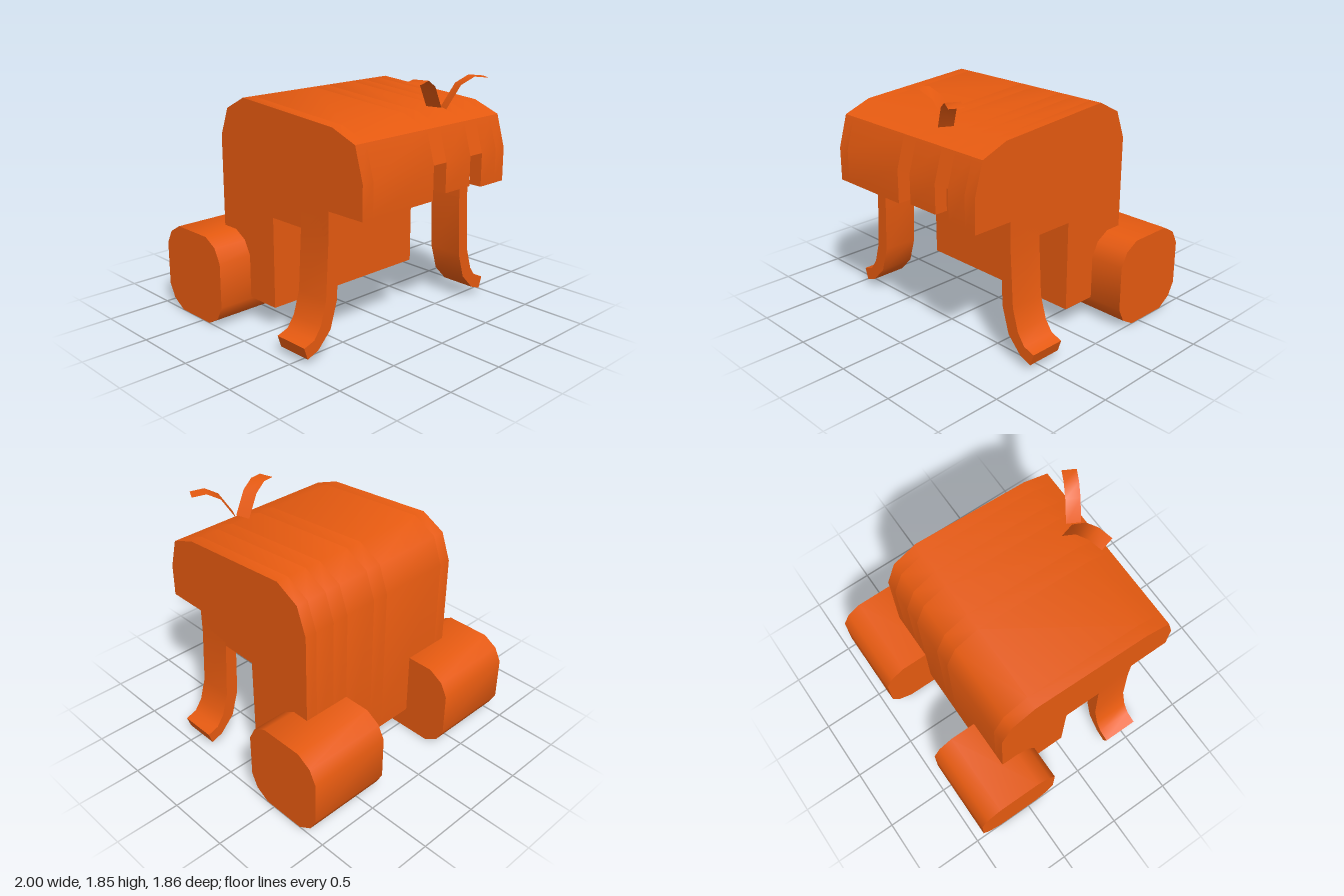
import * as THREE from 'three';
import { toCreasedNormals } from 'three/addons/utils/BufferGeometryUtils.js';

const orange = new THREE.MeshStandardMaterial({ color: 0xe65a10, side: THREE.DoubleSide });
orange.name = 'orange';

const toShape = (points) => new THREE.Shape(points.map(([a, b]) => new THREE.Vector2(a, b)));

function addMesh(parent, geometry, name) {
  const mesh = new THREE.Mesh(geometry, orange);
  mesh.name = name;
  parent.add(mesh);
  return mesh;
}

// Extrude an outline along its normal, rounded where corners are shallow
function prism(points, depth) {
  return new THREE.ExtrudeGeometry(toShape(points), { depth, bevelEnabled: false });
}

// Side outline given as (z, y), spanning x0 to x1
function sidePrism(points, x0, x1) {
  const g = prism(points, x1 - x0);
  g.rotateY(-Math.PI / 2);
  g.translate(x1, 0, 0);
  return toCreasedNormals(g, 0.85);
}

// Back and top of the body, from the lower rear up to the brow
const shell = [
  [0.02, 0.18], [-0.56, 0.18], [-0.56, 1.38], [-0.48, 1.59], [-0.29, 1.69],
  [0.64, 1.62], [0.85, 1.54], [0.92, 1.3],
];
const sideWall = [...shell, [0.92, 1.05], [0.6, 1.05], [0.6, 0.87], [0.02, 0.87]];

// Hollow section behind the front lip, which hangs down to lipY
function hollowSection(lipY) {
  const lip = lipY < 1.28 ? [[0.92, lipY], [0.82, lipY]] : [];
  return [...shell, ...lip, [0.82, 1.28], [0.77, 1.46], [0.6, 1.52], [0.12, 1.56], [0.12, 0.87], [0.02, 0.87]];
}

// Curved ribbon with its width horizontal
function leaf(base, tip, width) {
  const dir = new THREE.Vector2(tip[0] - base[0], tip[1] - base[1]);
  const side = new THREE.Vector2(-dir.y, dir.x).normalize().multiplyScalar(width / 2);
  const steps = [[0, 1.63], [0.33, 1.795], [0.65, 1.85], [1, 1.838]];
  const positions = [], index = [];
  steps.forEach(([t, y], i) => {
    const x = base[0] + dir.x * t, z = base[1] + dir.y * t;
    positions.push(x + side.x, y, z + side.y, x - side.x, y, z - side.y);
    const k = i * 2;
    if (i < steps.length - 1) index.push(k, k + 2, k + 1, k + 1, k + 2, k + 3);
  });
  const g = new THREE.BufferGeometry();
  g.setAttribute('position', new THREE.Float32BufferAttribute(positions, 3));
  // wind so the ribbon faces up
  g.setIndex(index);
  g.computeVertexNormals();
  if (g.attributes.normal.getY(4) < 0) {
    g.setIndex(index.reverse());
    g.computeVertexNormals();
  }
  return g;
}

export function createModel() {
  const model = new THREE.Group();
  model.name = 'model';

  // Body: solid side walls and a hollow middle with two notches in the front lip
  const body = new THREE.Group();
  body.name = 'body';
  model.add(body);
  addMesh(body, sidePrism(sideWall, 0.63, 0.725), 'leftWall');
  addMesh(body, sidePrism(sideWall, -0.725, -0.63), 'rightWall');
  const sections = [
    [-0.63, -0.05, 1.05, 'rightLip'],
    [-0.05, 0.08, 1.3, 'rightNotch'],
    [0.08, 0.34, 1.08, 'middleLip'],
    [0.34, 0.47, 1.3, 'leftNotch'],
    [0.47, 0.63, 1.05, 'leftLip'],
  ];
  for (const [x0, x1, lipY, name] of sections) {
    addMesh(body, sidePrism(hollowSection(lipY), x0, x1), name);
  }

  // Front legs curl outward at the foot
  const legOutline = [
    [0.63, 1.05], [0.63, 0.87], [0.65, 0.4], [0.71, 0.2], [0.825, 0.08], [0.92, 0.045],
    [0.95, 0.135], [0.86, 0.165], [0.8, 0.25], [0.75, 0.42], [0.725, 0.85], [0.725, 1.05],
  ];
  // Rear feet are thick rounded blocks
  const footOutline = [
    [-0.263, 0.17], [-0.263, 0.51], [-0.32, 0.62], [-0.425, 0.68], [-0.77, 0.68], [-0.88, 0.615],
    [-0.935, 0.51], [-0.935, 0.17], [-0.88, 0.07], [-0.77, 0], [-0.425, 0], [-0.315, 0.065],
  ];
  for (const s of [1, -1]) {
    const label = s > 0 ? 'left' : 'right';
    const outline = legOutline.map(([x, y]) => [x * s, y]);
    const leg = prism(outline, 0.28);
    leg.translate(0, 0, 0.32);
    addMesh(model, toCreasedNormals(leg, 0.85), label + 'FrontLeg');
    addMesh(model, sidePrism(footOutline, s > 0 ? 0.34 : -1, s > 0 ? 1 : -0.34), label + 'RearFoot');
  }

  // Sprout on top
  const sprout = new THREE.Group();
  sprout.name = 'sprout';
  model.add(sprout);
  addMesh(sprout, leaf([0.23, 0.663], [-0.09, 0.752], 0.118), 'rightLeaf');
  addMesh(sprout, leaf([0.25, 0.735], [0.527, 0.882], 0.108), 'leftLeaf');

  return model;
}
